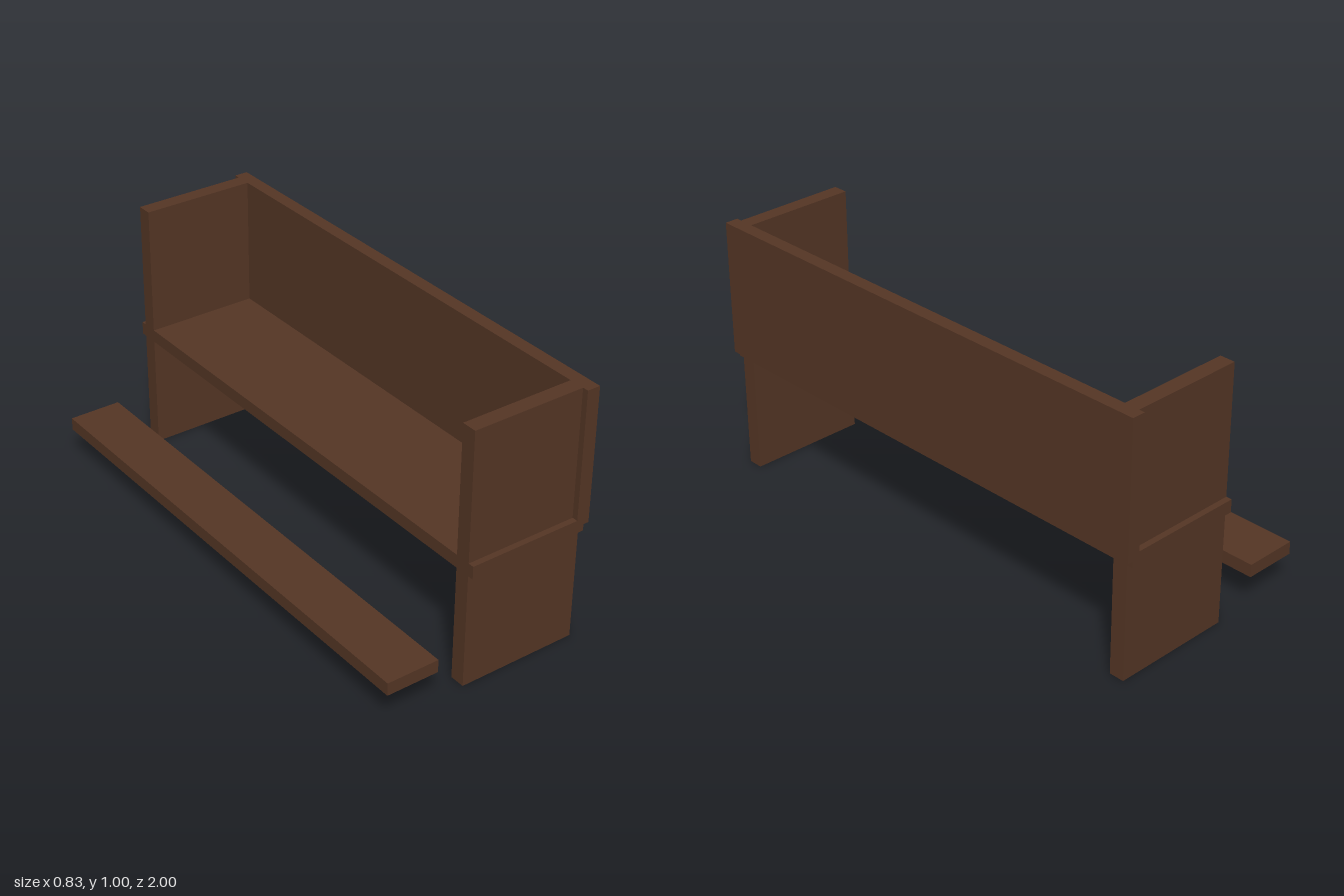
import * as THREE from 'three';

const wood = new THREE.MeshStandardMaterial({ color: 0x553625 });
wood.name = 'dark brown wood';

// Board spanning the given limits on each axis
function board(name, [x0, x1], [y0, y1], [z0, z1]) {
  const geometry = new THREE.BoxGeometry(x1 - x0, y1 - y0, z1 - z0);
  const mesh = new THREE.Mesh(geometry, wood);
  mesh.position.set((x0 + x1) / 2, (y0 + y1) / 2, (z0 + z1) / 2);
  mesh.name = name;
  return mesh;
}

export function createModel() {
  const bench = new THREE.Group();
  bench.name = 'bench';

  // Seat plank, notched along its rear edge to receive the backrest
  const profile = new THREE.Shape([
    [-0.08, 0.45], [0.395, 0.45], [0.395, 0.475],
    [0.365, 0.475], [0.365, 0.5], [-0.08, 0.5],
  ].map(([x, y]) => new THREE.Vector2(x, y)));
  const seat = new THREE.Mesh(
    new THREE.ExtrudeGeometry(profile, { depth: 2, bevelEnabled: false }), wood);
  seat.position.z = -1;
  seat.name = 'seat';
  bench.add(seat);

  // Tall backrest and detached foot rail
  bench.add(board('backrest', [0.365, 0.417], [0.475, 1], [-1, 1]));
  bench.add(board('footRail', [-0.417, -0.209], [0.134, 0.184], [-1, 1]));

  // Mirrored end panels and slab legs, set in slightly from the ends
  for (const side of [-1, 1]) {
    const span = [0.918 * side, 0.977 * side].sort((a, b) => a - b);
    const label = side > 0 ? 'front' : 'rear';
    bench.add(board(label + 'EndPanel', [-0.08, 0.365], [0.5, 1], span));
    bench.add(board(label + 'Leg', [-0.08, 0.395], [0, 0.45], span));
  }
  return bench;
}
